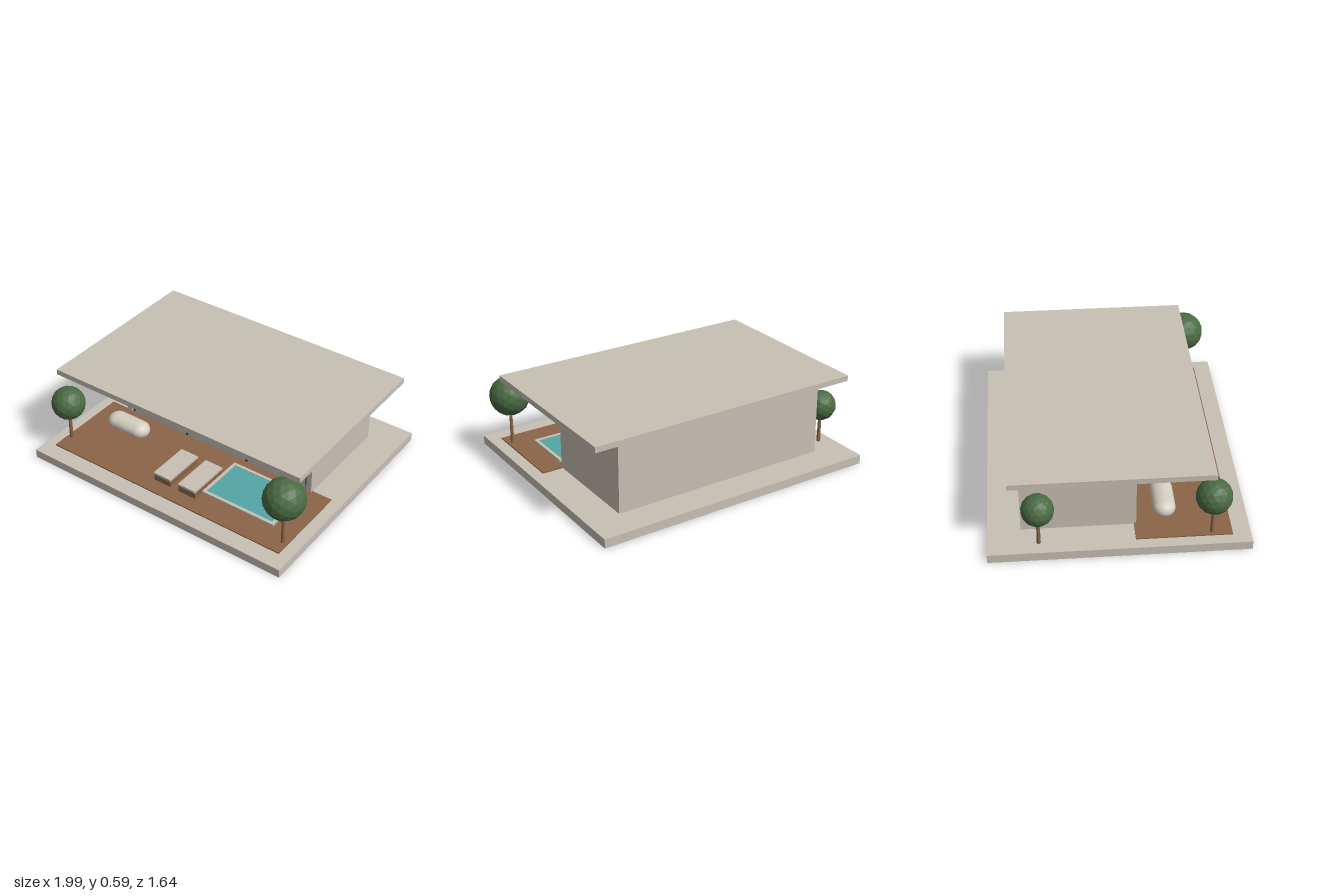
import * as THREE from 'three';

const paint = (name, color, extra = {}) => {
  const m = new THREE.MeshStandardMaterial({ color, ...extra });
  m.name = name;
  return m;
};

export function createModel() {
  const model = new THREE.Group();
  model.name = 'pavilionHouse';
  const concrete = paint('concrete', 0xc8c0b4);
  const wood = paint('wood', 0x8b6548);
  const glass = paint('glass', 0xb3c6c8);
  const metal = paint('dark metal', 0x33363a);
  const water = paint('water', 0x54a5a5);
  const fabric = paint('fabric', 0xd6cfc2);
  const leaves = paint('leaves', 0x4a6b43, { flatShading: true });

  // Box given by its minimum and maximum on each axis
  const box = (name, mat, [x0, x1], [y0, y1], [z0, z1], parent = model) => {
    const mesh = new THREE.Mesh(new THREE.BoxGeometry(x1 - x0, y1 - y0, z1 - z0), mat);
    mesh.position.set((x0 + x1) / 2, (y0 + y1) / 2, (z0 + z1) / 2);
    mesh.name = name;
    parent.add(mesh);
    return mesh;
  };
  const group = (name) => {
    const g = new THREE.Group();
    g.name = name;
    model.add(g);
    return g;
  };

  // Ground slab and timber deck
  box('groundSlab', concrete, [-0.99, 0.975], [0, 0.06], [-0.82, 0.82]);
  box('deck', wood, [-0.915, 0.895], [0.058, 0.068], [0.1, 0.705]);

  // House: back wall, two side walls, lintel, glazed front
  const house = group('house');
  const height = [0.058, 0.546];
  box('backWall', concrete, [-0.77, 0.75], height, [-0.61, -0.575], house);
  box('rightWall', concrete, [-0.77, -0.732], height, [-0.575, 0.115], house);
  box('leftWall', concrete, [0.712, 0.75], height, [-0.575, 0.115], house);
  box('lintel', concrete, [-0.732, 0.712], [0.52, 0.546], [0.06, 0.112], house);
  box('glassFront', glass, [-0.732, 0.712], [0.06, 0.52], [0.083, 0.093], house);
  for (const x of [-0.725, -0.26, 0.235, 0.705]) {
    box('mullion', metal, [x - 0.006, x + 0.006], [0.068, 0.52], [0.08, 0.103], house);
  }

  // Overhanging flat roof with timber soffit
  box('roof', concrete, [-0.965, 0.94], [0.551, 0.589], [-0.675, 0.575]);
  box('soffit', wood, [-0.932, 0.908], [0.542, 0.552], [-0.642, 0.545]);

  // Pool with raised rim
  const pool = group('pool');
  const [px0, px1, pz0, pz1, rim] = [0.187, 0.735, 0.17, 0.53, 0.022];
  const rimY = [0.066, 0.083];
  box('poolRimFront', concrete, [px0, px1], rimY, [pz1 - rim, pz1], pool);
  box('poolRimBack', concrete, [px0, px1], rimY, [pz0, pz0 + rim], pool);
  box('poolRimRight', concrete, [px0, px0 + rim], rimY, [pz0 + rim, pz1 - rim], pool);
  box('poolRimLeft', concrete, [px1 - rim, px1], rimY, [pz0 + rim, pz1 - rim], pool);
  box('poolWater', water, [px0 + rim, px1 - rim], [0.066, 0.08], [pz0 + rim, pz1 - rim], pool);

  // Two sun loungers
  for (const x of [-0.078, 0.12]) {
    const lounger = group('sunLounger');
    box('loungerBase', wood, [x - 0.066, x + 0.066], [0.066, 0.114], [0.31, 0.603], lounger);
    box('loungerPad', concrete, [x - 0.067, x + 0.067], [0.114, 0.13], [0.308, 0.607], lounger);
  }

  // Rounded daybed, slightly flattened
  const daybed = new THREE.Mesh(new THREE.CapsuleGeometry(0.072, 0.182, 10, 28), fabric);
  daybed.name = 'daybed';
  daybed.rotation.z = Math.PI / 2;
  daybed.scale.x = 0.79; // local x points up after the turn
  daybed.position.set(-0.605, 0.123, 0.298);
  model.add(daybed);

  // Trees: x, z, crown height, crown radius, ground height
  for (const [x, z, y, r, ground] of [
    [0.86, 0.608, 0.415, 0.136, 0.066],
    [-0.883, 0.578, 0.355, 0.115, 0.066],
    [-0.897, -0.5, 0.328, 0.103, 0.058],
  ]) {
    const tree = group('tree');
    const trunk = new THREE.Mesh(new THREE.CylinderGeometry(0.009, 0.013, y - ground, 8), wood);
    trunk.name = 'trunk';
    trunk.position.set(x, (y + ground) / 2, z);
    const crown = new THREE.Mesh(new THREE.IcosahedronGeometry(r, 2), leaves);
    crown.name = 'crown';
    crown.position.set(x, y, z);
    tree.add(trunk, crown);
  }
  return model;
}
